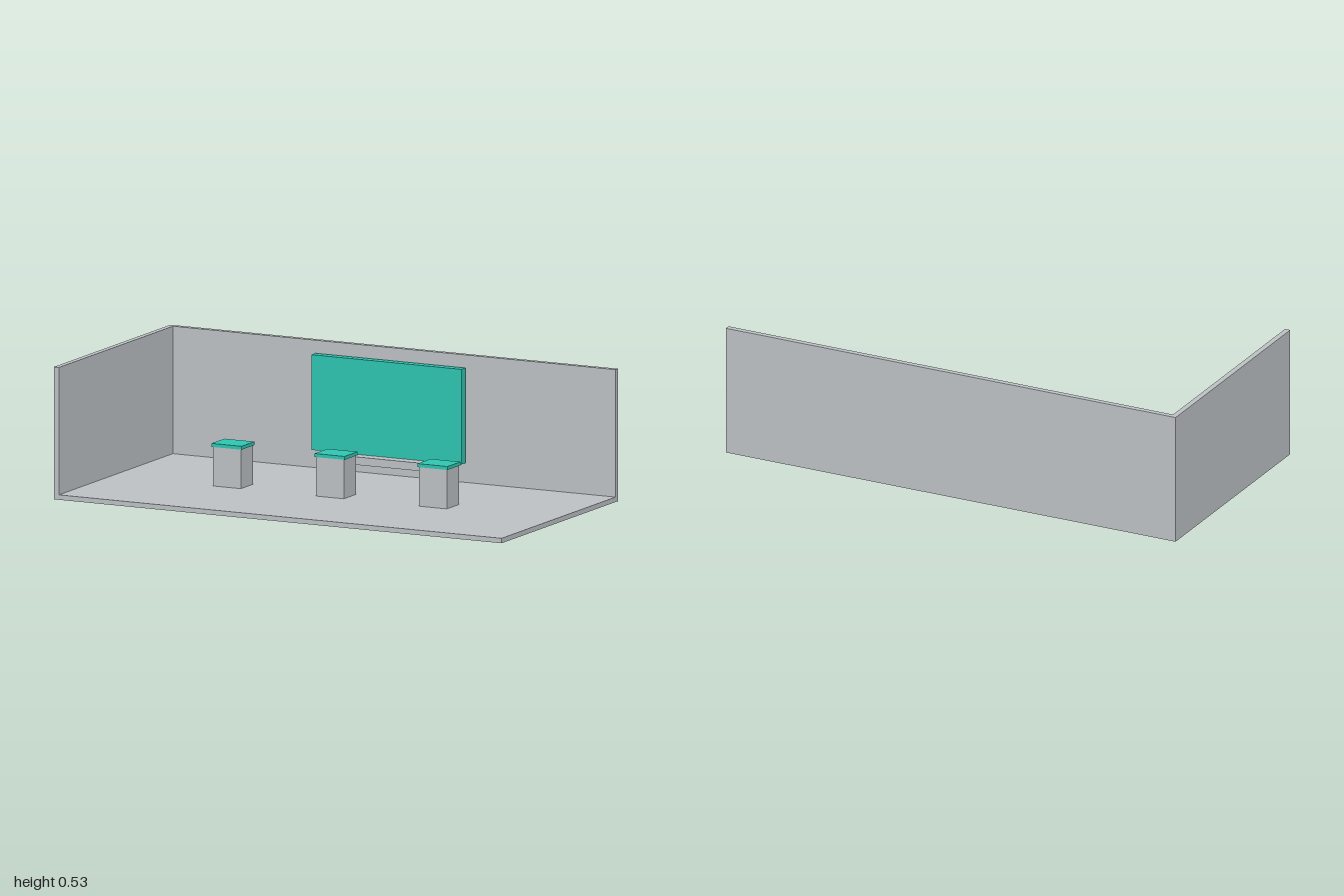
import * as THREE from 'three';

export function createModel() {
  const model = new THREE.Group();
  model.name = 'exhibitionBooth';

  const grey = new THREE.MeshStandardMaterial({ color: 0xbcc0c3 });
  grey.name = 'light grey';
  const teal = new THREE.MeshStandardMaterial({ color: 0x2ec4b0 });
  teal.name = 'teal';

  // Box given by its extents along each axis
  function box(name, material, [x0, x1], [y0, y1], [z0, z1], parent = model) {
    const mesh = new THREE.Mesh(new THREE.BoxGeometry(x1 - x0, y1 - y0, z1 - z0), material);
    mesh.position.set((x0 + x1) / 2, (y0 + y1) / 2, (z0 + z1) / 2);
    mesh.name = name;
    parent.add(mesh);
  }

  // Shell: floor, back wall and one side wall
  const wall = 0.023, floorTop = 0.02, height = 0.534;
  box('floor', grey, [-1, 1], [0, floorTop], [-0.5, 0.5]);
  box('backWall', grey, [-1, 1], [floorTop, height], [-0.5, -0.5 + wall]);
  box('sideWall', grey, [-1, -1 + wall], [floorTop, height], [-0.5 + wall, 0.5]);

  // Display panel and the ledge below it
  box('displayPanel', teal, [-0.335, 0.335], [0.1, 0.484], [-0.467, -0.431]);
  box('displayLedge', grey, [-0.25, 0.25], [0.068, 0.1], [-0.456, -0.382]);

  // Row of three pedestals with overhanging tops
  for (const x of [-0.46, 0, 0.46]) {
    const pedestal = new THREE.Group();
    pedestal.name = 'pedestal';
    pedestal.position.x = x;
    box('pedestalBase', grey, [-0.062, 0.062], [floorTop, 0.178], [-0.052, 0.052], pedestal);
    box('pedestalTop', teal, [-0.067, 0.067], [0.178, 0.192], [-0.056, 0.056], pedestal);
    model.add(pedestal);
  }

  return model;
}
